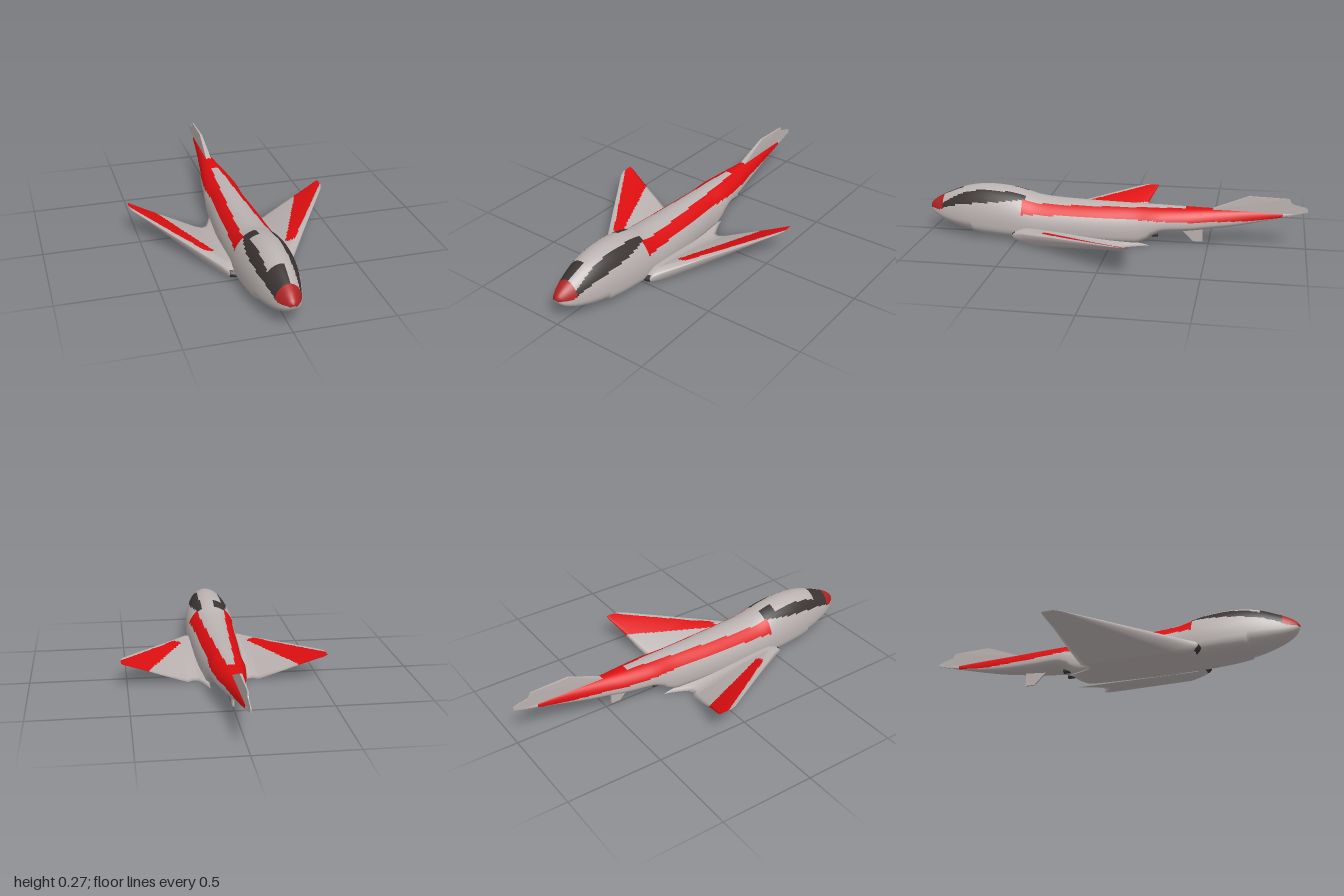
import * as THREE from 'three';

const mat = (name, color, side = THREE.FrontSide) => {
  const m = new THREE.MeshStandardMaterial({ color, side });
  m.name = name;
  return m;
};
const lerp = THREE.MathUtils.lerp;

// Smooth interpolation of table rows, keyed by their first (ascending) column
function sample(rows, k) {
  let i = 0;
  while (i < rows.length - 2 && k > rows[i + 1][0]) i++;
  const a = rows[i], b = rows[i + 1], p = rows[i - 1] || a, n = rows[i + 2] || b;
  const h = b[0] - a[0], t = (k - a[0]) / h;
  return a.map((_, c) => {
    const m0 = (b[c] - p[c]) / (b[0] - p[0]) * h, m1 = (n[c] - a[c]) / (n[0] - a[0]) * h;
    return (2 * t ** 3 - 3 * t * t + 1) * a[c] + (t ** 3 - 2 * t * t + t) * m0
      + (3 * t * t - 2 * t ** 3) * b[c] + (t ** 3 - t * t) * m1;
  });
}

// Piecewise linear lookup in [key, value] pairs with ascending keys
function line(pairs, k) {
  let i = 0;
  while (i < pairs.length - 2 && k > pairs[i + 1][0]) i++;
  const [a, b] = [pairs[i], pairs[i + 1]];
  return lerp(a[1], b[1], THREE.MathUtils.clamp((k - a[0]) / (b[0] - a[0]), 0, 1));
}

// Closed-ring loft; paint() picks a material index for each quad
function loft(name, point, nu, nv, paint, materials, flip = false) {
  const pos = [], lists = materials.map(() => []);
  for (let i = 0; i <= nu; i++) for (let j = 0; j < nv; j++) pos.push(...point(i / nu, j / nv));
  for (let i = 0; i < nu; i++) for (let j = 0; j < nv; j++) {
    const j2 = (j + 1) % nv;
    const a = i * nv + j, b = i * nv + j2, c = a + nv, d = b + nv;
    const mid = [0, 1, 2].map(k => (pos[a * 3 + k] + pos[b * 3 + k] + pos[c * 3 + k] + pos[d * 3 + k]) / 4);
    lists[paint(...mid, j / nv)].push(...(flip ? [a, b, c, b, d, c] : [a, c, b, b, c, d]));
  }
  const g = new THREE.BufferGeometry();
  g.setAttribute('position', new THREE.Float32BufferAttribute(pos, 3));
  g.setIndex(lists.flat());
  let start = 0;
  lists.forEach((l, k) => { g.addGroup(start, l.length, k); start += l.length; });
  g.computeVertexNormals();
  const mesh = new THREE.Mesh(g, materials);
  mesh.name = name;
  return mesh;
}

// Fuselage stations: z, half width, bottom, top
const BODY = [
  [-1, .001, .198, .202], [-.9, .006, .172, .188], [-.8, .014, .146, .19], [-.7, .025, .122, .192],
  [-.6, .04, .102, .193], [-.5, .056, .088, .194], [-.4, .075, .075, .195], [-.26, .094, .064, .197],
  [-.21, .1, .04, .198], [-.14, .104, .005, .199], [-.08, .107, 0, .2], [.1, .12, 0, .203],
  [.3, .128, 0, .211], [.4, .131, .002, .222], [.5, .135, .004, .25], [.6, .132, .008, .265],
  [.7, .122, .015, .267], [.8, .104, .029, .25], [.9, .074, .057, .211], [.95, .052, .08, .186],
  [.98, .033, .102, .165], [.993, .019, .12, .152], [1, 0, .14, .14]];

function bodyPoint(u, v) {
  const z = 1 - 2 * u ** 1.35;
  const [, w, b, t] = sample(BODY, z);
  const c = b + (t - b) * .32, ang = v * Math.PI * 2, co = Math.cos(ang), si = Math.sin(ang);
  // rounder above, squarer below
  const e = si < 0 ? (z > .75 || z < -.2 ? .85 : .6) : 1;
  return [w * Math.sign(co) * Math.abs(co) ** e,
    si < 0 ? c - (c - b) * Math.abs(si) ** e : c + (t - c) * si, z];
}

// 0 hull, 1 stripe, 2 nose, 3 canopy
function bodyPaint(x, y, z) {
  if (z > .915 && y > .13) return 2;
  const low = line([[.46, .215], [.6, .2], [.8, .178], [.92, .14]], z);
  if (z > .46 && z < .915 && y > low) {
    if (x > .055 || x < -.065 || (z > .81 && x < .01) || (z < .53 && x < -.015)) return 3;
  }
  if (z < .47 && z > -.88) {
    const bottom = line([[-.88, .165], [-.7, .142], [-.4, .132], [0, .14], [.47, .145]], z);
    const inner = z < -.38 ? 0 : line([[-.38, .02], [0, .045], [.47, .075]], z);
    if (y > bottom && Math.abs(x) > inner) return 1;
  }
  return 0;
}

// Wing stations: x, leading z, trailing z, leading y, top y, bottom y
const WING = [
  [.08, .52, -.2, .035, .075, 0], [.11, .52, -.12, .035, .075, 0], [.13, .52, -.08, .035, .075, 0],
  [.155, .512, -.07, .04, .075, 0], [.185, .455, -.09, .055, .08, 0], [.3, .27, -.12, .09, .098, .048],
  [.42, .08, -.145, .12, .124, .099], [.515, -.07, -.172, .143, .145, .139], [.53, -.11, -.172, .148, .148, .147]];

function wingPoint(side, u, v) {
  const x = lerp(.08, .53, u);
  const [zL, zT, yL, yT, yB] = [1, 2, 3, 4, 5].map(c => line(WING.map(r => [r[0], r[c]]), x));
  const upper = v < .5, f = (upper ? v * 2 : 2 - v * 2) ** 1.5;
  let y;
  if (upper) y = f < .12 ? lerp(yL, yT, Math.sqrt(f / .12)) : lerp(yT, yB + .003, ((f - .12) / .88) ** 1.4);
  else y = lerp(yL, yB, Math.min(1, Math.sqrt(f / .1)));
  return [side * x, y, lerp(zL, zT, f)];
}

// 0 hull, 1 stripe, 2 intake
function wingPaint(x, y, z, v) {
  const ax = Math.abs(x);
  if (ax < .156 && z > .492 && y < .056) return 2;
  if (v < .5 && z < .33 && ax > .205 + (.28 - z) * .442 && ax < .23 + (.33 - z) * .66) return 1;
  return 0;
}

// Upright plate from a (z, y) outline, with half thickness set by z
function fin(name, outline, half, material) {
  const shape = new THREE.Shape(outline.map(p => new THREE.Vector2(...p)));
  const g = new THREE.ExtrudeGeometry(shape, { depth: 2, bevelEnabled: false });
  g.translate(0, 0, -1).rotateY(-Math.PI / 2);
  const p = g.attributes.position;
  for (let i = 0; i < p.count; i++) p.setX(i, p.getX(i) * half(p.getZ(i), p.getY(i)));
  g.computeVertexNormals();
  const mesh = new THREE.Mesh(g, material);
  mesh.name = name;
  return mesh;
}

export function createModel() {
  const hull = mat('hull grey', 0xbab2b0), red = mat('stripe red', 0xdd0e10);
  const noseRed = mat('nose red', 0xb02424), dark = mat('canopy charcoal', 0x3a3433);
  const group = new THREE.Group();
  group.name = 'spacePlane';

  group.add(loft('fuselage', bodyPoint, 150, 96, bodyPaint, [hull, red, noseRed, dark]));

  for (const s of [1, -1]) {
    group.add(loft(s > 0 ? 'leftWing' : 'rightWing', (u, v) => wingPoint(s, u, v), 72, 64,
      wingPaint, [hull, red, dark], s < 0));
    // Exhaust pipes behind the belly step
    const pipe = new THREE.Mesh(new THREE.CylinderGeometry(.014, .014, .08, 16), dark);
    pipe.rotation.x = Math.PI / 2;
    pipe.position.set(s * .035, .05, -.2);
    pipe.name = s > 0 ? 'leftExhaust' : 'rightExhaust';
    group.add(pipe);
  }

  // Tail fin, thinning towards the rear and the top edge
  group.add(fin('tailFin', [[-.5, .185], [-.7, .268], [-.905, .264], [-.92, .236], [-.985, .222],
    [-1, .212], [-1, .198], [-.9, .172], [-.7, .16]],
  (z, y) => (.002 + .026 * (z + 1)) * (y > .23 ? .6 : 1), hull));
  // Small fin under the tail
  group.add(fin('ventralFin', [[-.35, .08], [-.42, .01], [-.47, .01], [-.47, .1]], () => .005, hull));
  return group;
}
